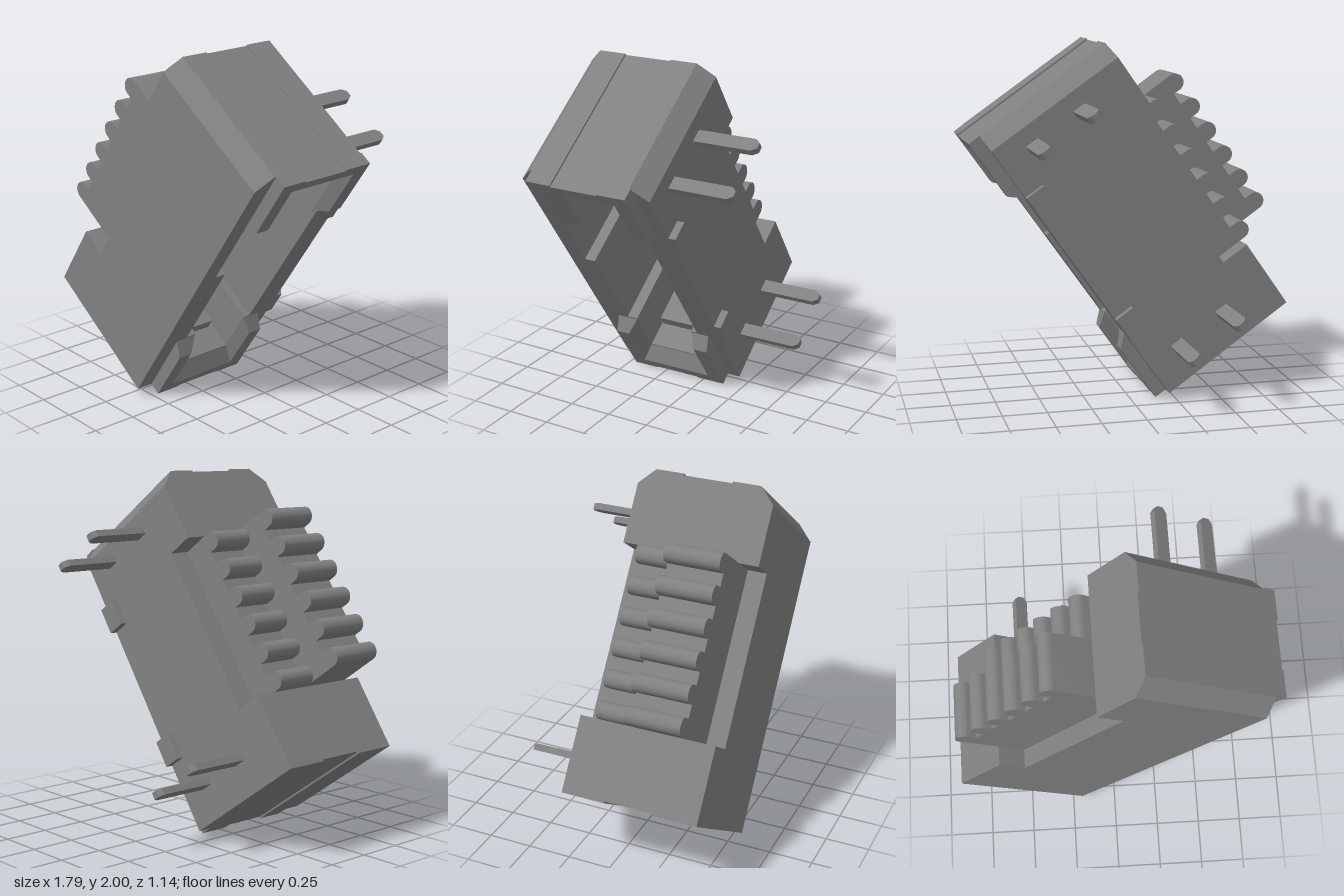
import * as THREE from 'three';
import { toCreasedNormals } from 'three/addons/utils/BufferGeometryUtils.js';
import { ConvexGeometry } from 'three/addons/geometries/ConvexGeometry.js';

const plastic = new THREE.MeshStandardMaterial({ color: 0x808080 });
plastic.name = 'grey plastic';

const BACK = -0.207, FRONT = 0.567, END = 0.9, GROOVE = 0.89, SLOT = 0.477;

function add(parent, geometry, name) {
  const mesh = new THREE.Mesh(geometry, plastic);
  mesh.name = name;
  parent.add(mesh);
  return mesh;
}

function box(parent, name, x0, x1, y0, y1, z0, z1) {
  const g = new THREE.BoxGeometry(x1 - x0, y1 - y0, z1 - z0);
  g.translate((x0 + x1) / 2, (y0 + y1) / 2, (z0 + z1) / 2);
  return add(parent, g, name);
}

// Extrudes a [z, y] outline along x from x0 to x1; the hole winds the other way
function extrudeX(outline, x0, x1, hole) {
  const vec = ([z, y]) => new THREE.Vector2(-z, y);
  const shape = new THREE.Shape(outline.map(vec));
  if (hole) shape.holes.push(new THREE.Path(hole.map(vec).reverse()));
  const g = new THREE.ExtrudeGeometry(shape, { depth: x1 - x0, bevelEnabled: false });
  return g.rotateY(Math.PI / 2).translate(x0, 0, 0);
}

// Housing ends: chamfered at the top, shallow groove across both
const topEnd = [[FRONT, 0.81], [0.48, END], [0.32, END], [0.32, GROOVE], [0.04, GROOVE], [0.04, END], [-0.12, END], [BACK, 0.81]];
const bottomEnd = [[BACK, -END], [0.04, -END], [0.04, -GROOVE], [0.32, -GROOVE], [0.32, -END], [FRONT, -END]];

// Grip block with a row of rounded teeth
function gripGeometry(valley, z0, z1) {
  const r = 0.05, centre = valley - 0.043, pitch = 0.171;
  const shape = new THREE.Shape();
  shape.moveTo(-0.29, -SLOT);
  for (let i = 0; i < 6; i++) {
    const y = (i - 2.5) * pitch;
    shape.lineTo(i ? valley : centre, y - r);
    shape.lineTo(centre, y - r);
    shape.absarc(centre, y, r, -Math.PI / 2, Math.PI / 2, true);
    if (i < 5) shape.lineTo(valley, y + r);
  }
  shape.lineTo(-0.29, SLOT);
  const g = new THREE.ExtrudeGeometry(shape, { depth: z1 - z0, bevelEnabled: false, curveSegments: 14 });
  return toCreasedNormals(g.translate(0, 0, z0), 0.5);
}

// Raised funnel rim around one end of the socket, s = +1 top, -1 bottom
function addRim(parent, s) {
  const X0 = 0.38, X1 = 0.456;
  const hull = (pts) => new ConvexGeometry(pts.map(([x, y, z]) => new THREE.Vector3(x, y * s, z)));
  for (const [outer, lip, inner, groove] of [[0.47, 0.39, 0.34, 0.32], [-0.13, -0.045, -0.02, 0.04]]) {
    const pts = [];
    for (const [yBase, yTop] of [[0.475, 0.545], [END, END]]) {
      pts.push([X0, yBase, outer], [X0, yBase, inner], [X1, yTop, outer], [X1, yTop, lip]);
    }
    add(parent, hull(pts), 'rimLeg');
    const corner = [];
    for (const x of [X0, X1]) for (const y of [0.85, END]) corner.push([x, y, outer], [x, y, groove]);
    add(parent, hull(corner), 'rimCorner');
  }
  const wall = [];
  for (const z of [0.47, -0.13]) wall.push([X0, GROOVE, z], [X1, GROOVE, z], [X1, 0.84, z], [X0, 0.75, z]);
  add(parent, hull(wall), 'rimEndWall');
}

// Flat pin with a tapered tip, pointing backwards
function pinGeometry(x, y) {
  const w = 0.039, tip = 0.018;
  const shape = new THREE.Shape([[-w, 0.19], [w, 0.19], [w, 0.54], [tip, 0.57], [-tip, 0.57], [-w, 0.54]]
    .map(([a, b]) => new THREE.Vector2(a, b)));
  const g = new THREE.ExtrudeGeometry(shape, { depth: 0.038, bevelEnabled: false });
  return g.translate(0, 0, -0.019).rotateX(-Math.PI / 2).translate(x, y, 0);
}

export function createModel() {
  const model = new THREE.Group();
  model.name = 'connector';
  const body = new THREE.Group();
  body.name = 'tiltedConnector';
  body.position.set(0, 1, 0);
  body.rotation.set(0.006, 0.009, THREE.MathUtils.degToRad(-35));
  model.add(body);

  // Housing: slotted side, solid core, hollow socket
  const full = [...bottomEnd, ...topEnd];
  const socketHole = [
    [-0.02, -0.75], [0.34, -0.75], [0.34, -0.47], [0.405, -0.47], [0.405, 0.1], [0.47, 0.1], [0.47, 0.47],
    [0.34, 0.47], [0.34, 0.75], [-0.02, 0.75], [-0.02, 0.47], [-0.06, 0.47], [-0.06, -0.47], [-0.02, -0.47],
  ];
  add(body, extrudeX([[BACK, SLOT], [FRONT, SLOT], ...topEnd], -0.456, -0.29), 'upperShoulder');
  add(body, extrudeX([...bottomEnd, [FRONT, -SLOT], [BACK, -SLOT]], -0.456, -0.29), 'lowerShoulder');
  add(body, extrudeX(full, -0.29, -0.18), 'core');
  add(body, extrudeX(full, -0.18, 0.385, socketHole), 'socket');

  // Toothed grips, the front one standing taller
  add(body, gripGeometry(-0.66, 0.15, 0.46), 'frontGrip');
  add(body, gripGeometry(-0.45, -0.09, 0.15), 'backGrip');

  for (const s of [1, -1]) {
    addRim(body, s);
    // Ledge inside the socket
    const [y0, y1] = s > 0 ? [0.69, 0.76] : [-0.76, -0.69];
    box(body, 'socketLedge', -0.19, 0.235, y0, y1, 0.01, 0.33);
    // Spacer pad and pins on the back
    box(body, 'backPad', 0.27, 0.384, s * 0.425 - 0.076, s * 0.425 + 0.076, -0.25, -0.2);
    for (const x of [-0.129, 0.184]) add(body, pinGeometry(x, s * 0.7), 'pin');
  }
  return model;
}
